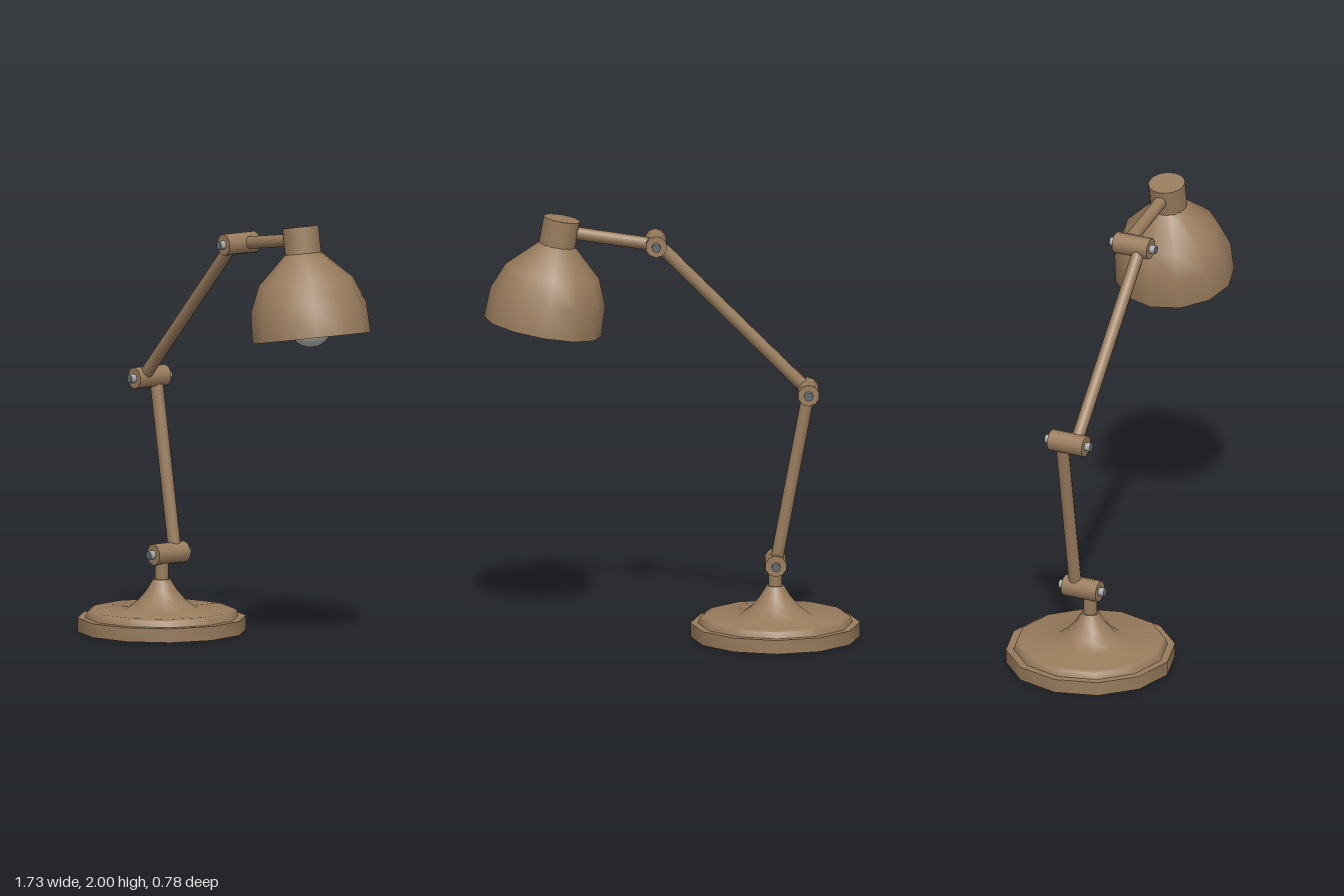
import * as THREE from 'three';
import { toCreasedNormals } from 'three/addons/utils/BufferGeometryUtils.js';

const material = (name, color) => {
  const m = new THREE.MeshStandardMaterial({ color });
  m.name = name;
  return m;
};

export function createModel() {
  const brown = material('brown paint', 0x987b5c);
  const grey = material('grey lining', 0x8c8c8c);
  const bulbGlass = material('bulb glass', 0xc0bcb6);
  const steel = material('bolt steel', 0xaaacac);
  const darkSteel = material('bolt end', 0x646a70);

  const lamp = new THREE.Group();
  lamp.name = 'deskLamp';

  const add = (parent, name, geometry, mat, x = 0, y = 0, z = 0) => {
    const mesh = new THREE.Mesh(geometry, mat);
    mesh.name = name;
    mesh.position.set(x, y, z);
    parent.add(mesh);
    return mesh;
  };
  // Twelve-sided turned part with sharp edges kept
  const turned = (points) => toCreasedNormals(
    new THREE.LatheGeometry(points.map(([r, y]) => new THREE.Vector2(r, y)), 12), 0.8);

  // Stepped base with a flared cone
  add(lamp, 'base', turned([
    [0, 0], [0.39, 0], [0.39, 0.065], [0.355, 0.065], [0.345, 0.093], [0.33, 0.1],
    [0.165, 0.102], [0.11, 0.143], [0.07, 0.19], [0.04, 0.24], [0, 0.24],
  ]), brown);
  add(lamp, 'stem', new THREE.CylinderGeometry(0.032, 0.032, 0.13, 12), brown, 0, 0.295, 0);

  // Hinge barrels, each with a bolt through it
  const hinges = [[0, 0.355], [-0.15, 1.157], [0.55, 1.86]];
  hinges.forEach(([x, y]) => {
    const hinge = new THREE.Group();
    hinge.name = 'hinge';
    hinge.position.set(x, y, -0.04);
    hinge.rotation.x = Math.PI / 2;
    add(hinge, 'barrel', new THREE.CylinderGeometry(0.05, 0.05, 0.175, 10), brown);
    add(hinge, 'bolt', new THREE.CylinderGeometry(0.021, 0.021, 0.228, 8), [steel, darkSteel, darkSteel]);
    lamp.add(hinge);
  });

  // Arms alternate between the two ends of the barrels
  const up = new THREE.Vector3(0, 1, 0);
  const arm = (name, a, b, z) => {
    const from = new THREE.Vector3(...a, z);
    const to = new THREE.Vector3(...b, z);
    const span = to.clone().sub(from);
    const mesh = add(lamp, name, new THREE.CylinderGeometry(0.03, 0.03, span.length(), 10), brown);
    mesh.position.copy(from).lerp(to, 0.5);
    mesh.quaternion.setFromUnitVectors(up, span.normalize());
  };
  arm('lowerArm', hinges[0], hinges[1], -0.075);
  arm('upperArm', hinges[1], hinges[2], -0.005);
  arm('headArm', hinges[2], [0.99, 1.928], -0.075);

  // Tilted head, measured down from the top of its cap
  const head = new THREE.Group();
  head.name = 'head';
  head.position.set(0.982, 1.985, -0.075);
  head.rotation.z = THREE.MathUtils.degToRad(10);
  lamp.add(head);
  add(head, 'cap', new THREE.CylinderGeometry(0.085, 0.085, 0.13, 16), brown, 0, -0.065, 0);
  add(head, 'shade', turned([
    [0.259, -0.513], [0.274, -0.513], [0.268, -0.372], [0.218, -0.25], [0.082, -0.12],
  ]), brown);
  add(head, 'shadeLining', turned([
    [0, -0.14], [0.075, -0.14], [0.204, -0.258], [0.253, -0.374], [0.259, -0.513],
  ].reverse().map((p) => p).reverse()), grey);
  add(head, 'bulbSocket', new THREE.CylinderGeometry(0.04, 0.04, 0.24, 12), grey, 0, -0.26, 0);
  add(head, 'bulb', new THREE.SphereGeometry(0.1, 20, 14), bulbGlass, 0, -0.455, 0);

  // Slight swivel about the base
  lamp.rotation.y = -0.08;
  lamp.position.x = -0.48;
  const model = new THREE.Group();
  model.name = 'lamp';
  model.add(lamp);
  return model;
}
